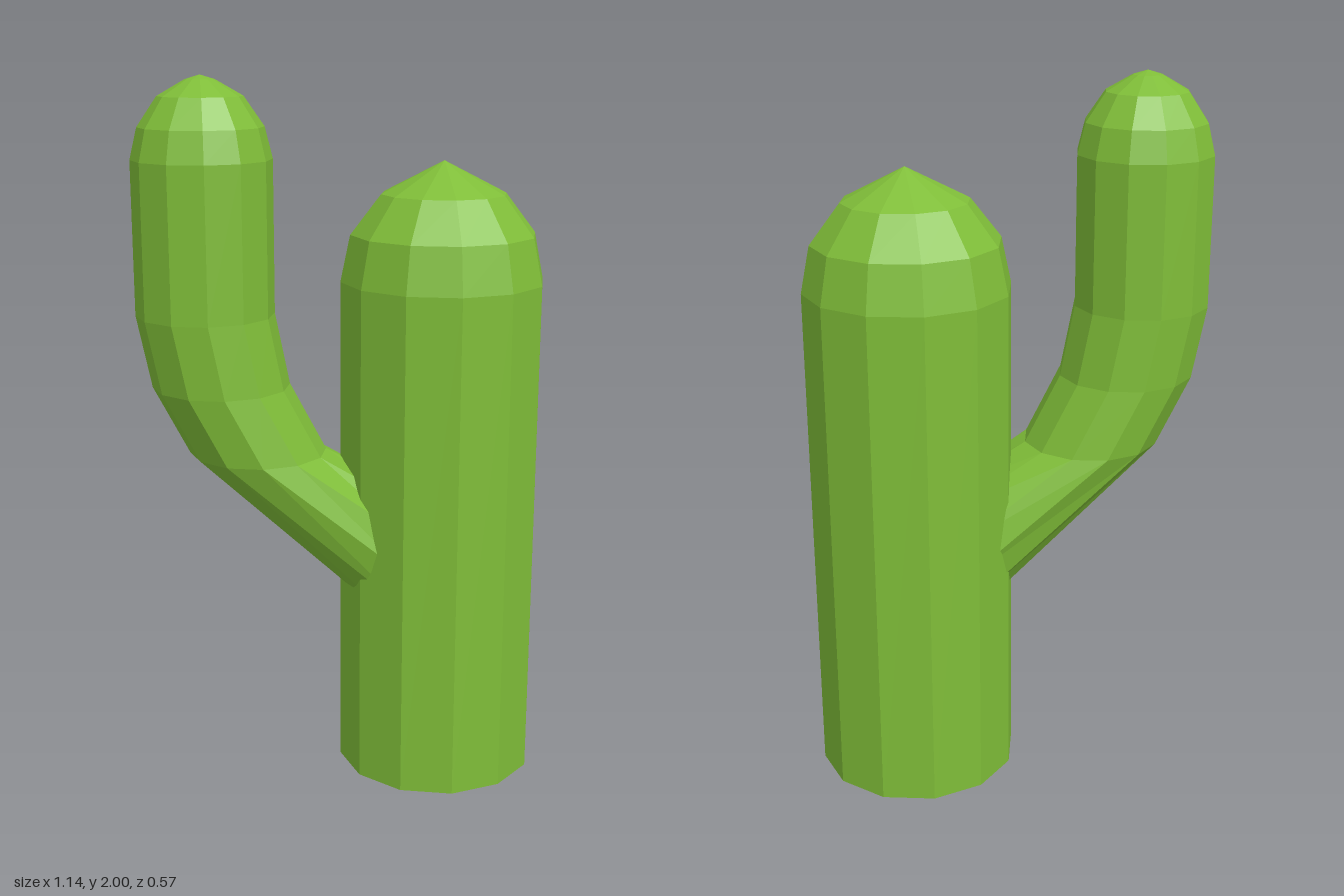
import * as THREE from 'three';

const SIDES = 12;

// Skins a stack of rings from bottom to top with flat facets.
// Ring: centre (x, y), half-axis (ux, uy) in the x-y plane, half-width rz along z.
function loft(rings, z0) {
  const point = (r, i) => {
    const a = (i % SIDES) / SIDES * Math.PI * 2;
    const c = Math.cos(a);
    return [r.x + c * r.ux, r.y + c * r.uy, z0 + Math.sin(a) * r.rz];
  };
  const positions = [];
  for (let k = 0; k < rings.length - 1; k++) {
    const lo = rings[k], hi = rings[k + 1];
    for (let i = 0; i < SIDES; i++) {
      const a = point(lo, i), b = point(lo, i + 1);
      const c = point(hi, i), d = point(hi, i + 1);
      if (lo.rz > 0) positions.push(...a, ...c, ...b);
      if (hi.rz > 0) positions.push(...b, ...c, ...d);
    }
  }
  const geometry = new THREE.BufferGeometry();
  geometry.setAttribute('position', new THREE.Float32BufferAttribute(positions, 3));
  geometry.computeVertexNormals();
  return geometry;
}

// Horizontal round ring
const ring = (x, y, r) => ({ x, y, ux: r, uy: 0, rz: r });

export function createModel() {
  const group = new THREE.Group();
  group.name = 'cactus';

  const green = new THREE.MeshStandardMaterial({ color: 0x7fbd38 });
  green.name = 'cactus green';

  const add = (name, rings, z) => {
    const mesh = new THREE.Mesh(loft(rings, z), green);
    mesh.name = name;
    group.add(mesh);
  };

  // Thick upright trunk with a domed top and a closed base
  const trunk = [[0, 0], [0, 0.287], [1.44, 0.287], [1.57, 0.26], [1.68, 0.175], [1.77, 0]];
  add('trunk', trunk.map(([y, r]) => ring(0.281, y, r)), -0.001);

  // Arm leaving the trunk sideways, bending upward to a domed tip
  add('arm', [
    { x: 0.2, y: 0.6, ux: 0, uy: 0, rz: 0 },
    { x: 0.2, y: 0.6, ux: 0, uy: 0.225, rz: 0.175 },
    ring(-0.24, 0.965, 0.192),
    ring(-0.34, 1.158, 0.191),
    ring(-0.38, 1.36, 0.191),
    ring(-0.38, 1.78, 0.191),
    ring(-0.38, 1.865, 0.17),
    ring(-0.38, 1.945, 0.115),
    ring(-0.38, 1.988, 0.04),
    ring(-0.38, 2.0, 0),
  ], 0.005);

  return group;
}
